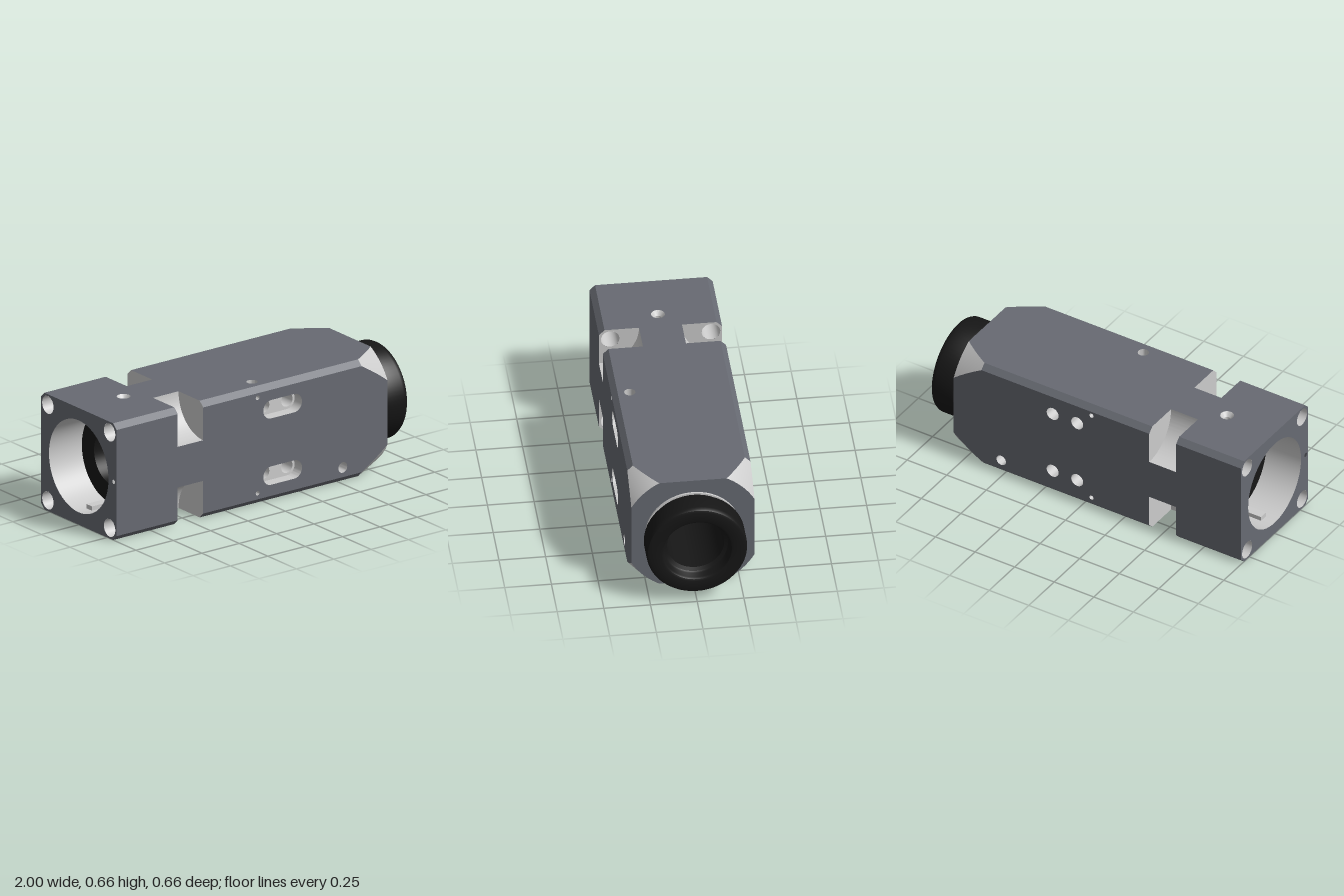
import * as THREE from 'three';
import { toCreasedNormals } from 'three/addons/utils/BufferGeometryUtils.js';

const H = 0.33, E = 0.3;            // half width, half width inside the chamfer
const X0 = -1, X1 = 0.815, XC = 0.64; // rear end, front end, start of the corner cone
const N0 = -0.59, N1 = -0.42, NV = 0.115; // corner notch range and edge
const BORE = 0.153, REAR = 0.26, FLOOR = -0.78;

const mat = (color) => new THREE.MeshStandardMaterial({ color, side: THREE.DoubleSide });
const bodyMat = mat(0x676a72), metal = mat(0xcccccc), black = mat(0x161616);

function add(parent, name, geometry, material) {
  const m = new THREE.Mesh(geometry, material);
  m.name = name;
  parent.add(m);
  return m;
}

const circle = (x, y, r) => new THREE.Path().absarc(x, y, r, 0, Math.PI * 2, false);

// Obround opening between two centres on a horizontal line
function obround(xa, xb, y, r, Type = THREE.Path) {
  const p = new Type();
  p.absarc(xb, y, r, -Math.PI / 2, Math.PI / 2, false);
  p.absarc(xa, y, r, Math.PI / 2, Math.PI * 1.5, false);
  p.closePath();
  return p;
}

// Open wall following a path, from z0 to z1
function wall(path, z0, z1, n = 12) {
  const pts = path.getPoints(n), pos = [];
  for (let i = 0; i < pts.length - 1; i++) {
    const a = pts[i], b = pts[i + 1];
    if (a.distanceTo(b) < 1e-6) continue;
    pos.push(a.x, a.y, z0, a.x, a.y, z1, b.x, b.y, z1, a.x, a.y, z0, b.x, b.y, z1, b.x, b.y, z0);
  }
  const g = new THREE.BufferGeometry();
  g.setAttribute('position', new THREE.Float32BufferAttribute(pos, 3));
  return toCreasedNormals(g, 0.6);
}

const coneR = (x) => THREE.MathUtils.mapLinear(x, XC, X1, 0.4460, 0.376);
const coneV = (x) => Math.min(E, Math.sqrt(coneR(x) ** 2 - H * H));

// Long side face: notched edges, curved front corners, openings
function sidePanel(holes) {
  const half = [[X0, E], [N0, E], [N0, NV], [N1, NV], [N1, E]];
  for (let i = 0; i <= 12; i++) {
    const x = XC + (X1 - XC) * i / 12;
    half.push([x, coneV(x)]);
  }
  const pts = [...half.map(([x, v]) => [x, -v]), ...half.reverse()];
  const s = new THREE.Shape(pts.map(([x, v]) => new THREE.Vector2(x, v)));
  s.holes.push(...holes);
  return new THREE.ShapeGeometry(s, 12).translate(0, 0, H);
}

// One chamfered corner with its notch, screw hole and conical front relief
function corner(body, i) {
  const g = new THREE.Group();
  g.name = 'corner' + i;
  g.rotation.x = -i * Math.PI / 2;
  body.add(g);
  for (const [a, b] of [[X0, N0], [N1, XC]]) {
    const strip = new THREE.PlaneGeometry(b - a, (H - E) * Math.SQRT2);
    strip.rotateX(-Math.PI / 4).translate((a + b) / 2, (H + E) / 2, (H + E) / 2);
    add(g, 'edgeChamfer', strip, bodyMat);
  }
  const cone = new THREE.PlaneGeometry(1, 1, 12, 16), p = cone.attributes.position;
  for (let k = 0; k < p.count; k++) {
    const x = XC + (p.getX(k) + 0.5) * (X1 - XC), r = coneR(x);
    const a0 = Math.atan2(coneV(x), H);
    const t = a0 + (p.getY(k) + 0.5) * (Math.PI / 2 - 2 * a0);
    p.setXYZ(k, x, r * Math.sin(t), r * Math.cos(t));
  }
  cone.computeVertexNormals();
  add(g, 'cornerRelief', cone, metal);

  const arc = new THREE.Path().absarc(H, H, H - NV, Math.PI, Math.PI * 1.5, false);
  add(g, 'notchFloor', wall(arc, N0, N1, 24).rotateY(Math.PI / 2), metal);
  for (const x of [N0, N1]) {
    const s = new THREE.Shape();
    s.absarc(H, H, H - NV, Math.PI, Math.PI * 1.5, false);
    s.lineTo(H, E);
    s.lineTo(E, H);
    if (x === N0) s.holes.push(circle(0.27, 0.27, 0.05));
    add(g, 'notchWall', new THREE.ShapeGeometry(s, 24).rotateY(Math.PI / 2).translate(x, 0, 0), metal);
  }
  add(g, 'screwHole', wall(circle(0.27, 0.27, 0.05), X0, N0).rotateY(Math.PI / 2), metal);
}

export function createModel() {
  const root = new THREE.Group();
  const body = new THREE.Group();
  body.name = 'body';
  body.position.y = H;
  root.add(body);

  // Transverse openings
  const slotX = [0.035, 0.19], slotV = [0.19, -0.185], slotDepth = 0.065;
  const pins = [[-0.055, 0.275], [-0.055, -0.265]];
  const sideScrew = [0.515, -0.245];
  const crossHoles = slotV.flatMap((v) => slotX.map((x) => [x, v, 0.038]));
  const pinHoles = pins.map(([x, v]) => [x, v, 0.013]);
  const vertical = [-0.02, 0.235, 0.03];

  const openings = [
    [...slotV.map((v) => obround(...slotX, v, 0.052)), ...pinHoles.map((h) => circle(...h)), circle(...sideScrew, 0.03)],
    [circle(-0.7, 0, 0.037), circle(vertical[0], -vertical[1], vertical[2])],
    [...[...crossHoles, ...pinHoles].map(([x, v, r]) => circle(x, -v, r)), circle(sideScrew[0], -sideScrew[1], 0.03)],
    [circle(...vertical)],
  ];
  ['front', 'top', 'back', 'bottom'].forEach((side, i) => {
    add(body, side + 'Panel', sidePanel(openings[i]), bodyMat).rotation.x = -i * Math.PI / 2;
    corner(body, i);
  });

  // Slots on the front with two through holes each
  for (const v of slotV) {
    add(body, 'slotWall', wall(obround(...slotX, v, 0.052), H - slotDepth, H), metal);
    const floor = obround(...slotX, v, 0.052, THREE.Shape);
    floor.holes.push(...slotX.map((x) => circle(x, v, 0.038)));
    add(body, 'slotFloor', new THREE.ShapeGeometry(floor).translate(0, 0, H - slotDepth), metal);
  }
  for (const h of crossHoles) add(body, 'crossHole', wall(circle(...h), -H, H - slotDepth), metal);
  for (const h of pinHoles) add(body, 'pinHole', wall(circle(...h), -H, H), metal);
  add(body, 'verticalHole', wall(circle(...vertical), -H, H).rotateX(Math.PI / 2), metal);

  // Blind screw holes on front and back
  for (const s of [1, -1]) {
    add(body, 'sideScrewHole', wall(circle(...sideScrew, 0.03), s * (H - 0.1), s * H), metal);
    add(body, 'sideScrew', new THREE.CircleGeometry(0.03, 24).translate(...sideScrew, s * (H - 0.1)), black);
  }

  // Countersunk set screw on top
  const sink = new THREE.LatheGeometry([[0.018, -0.06], [0.018, -0.025], [0.037, 0]].map((q) => new THREE.Vector2(...q)), 24);
  add(body, 'setScrewSink', toCreasedNormals(sink, 0.4), metal).position.set(-0.7, H, 0);
  add(body, 'setScrew', new THREE.CircleGeometry(0.018, 24).rotateX(-Math.PI / 2).translate(-0.7, H - 0.05, 0), black);

  // Rear face with bore and screw openings
  const rear = new THREE.Shape([[-H, -E], [-E, -H], [E, -H], [H, -E], [H, E], [E, H], [-E, H], [-H, E]]
    .map((q) => new THREE.Vector2(...q)));
  rear.holes.push(circle(0, 0, REAR), circle(0.305, 0, 0.012));
  for (const a of [-0.27, 0.27]) for (const b of [-0.27, 0.27]) rear.holes.push(circle(a, b, 0.05));
  add(body, 'rearFace', new THREE.ShapeGeometry(rear, 32).rotateY(-Math.PI / 2).translate(X0, 0, 0), bodyMat);
  add(body, 'rearBore', wall(circle(0, 0, REAR), X0, FLOOR, 32).rotateY(Math.PI / 2), metal);
  add(body, 'boreKey', new THREE.BoxGeometry(0.1, 0.03, 0.05).translate(-0.88, -0.25, 0), metal);

  // Front face: circle clipped by the square
  const front = new THREE.Shape(), a0 = Math.acos(H / 0.376);
  for (let i = 0; i < 4; i++) {
    front.absarc(0, 0, 0.376, i * Math.PI / 2 + a0, (i + 1) * Math.PI / 2 - a0, false);
  }
  front.holes.push(circle(0, 0, 0.24));
  add(body, 'frontFace', new THREE.ShapeGeometry(front, 24).rotateY(Math.PI / 2).translate(X1, 0, 0), bodyMat);

  // Turned parts about the long axis: profile points are [radius, x]
  const turned = (name, profile, material) => {
    const g = new THREE.LatheGeometry(profile.map((q) => new THREE.Vector2(...q)), 72);
    add(body, name, toCreasedNormals(g, 0.5).rotateZ(-Math.PI / 2), material);
  };
  turned('collar', [[0.235, 0.815], [0.256, 0.815], [0.256, 0.826], [0.235, 0.826]], metal);
  turned('eyepiece', [
    [REAR, FLOOR], [BORE, FLOOR], [BORE, 0.93], [0.172, 0.94], [0.178, 0.95], [0.18, 0.985], [0.186, 0.996],
    [0.196, 1], [0.252, 1], [0.263, 0.996], [0.269, 0.985], [0.27, 0.97], [0.27, 0.87], [0.267, 0.86],
    [0.258, 0.855], [0.246, 0.855], [0.246, 0.815],
  ], black);

  return root;
}
